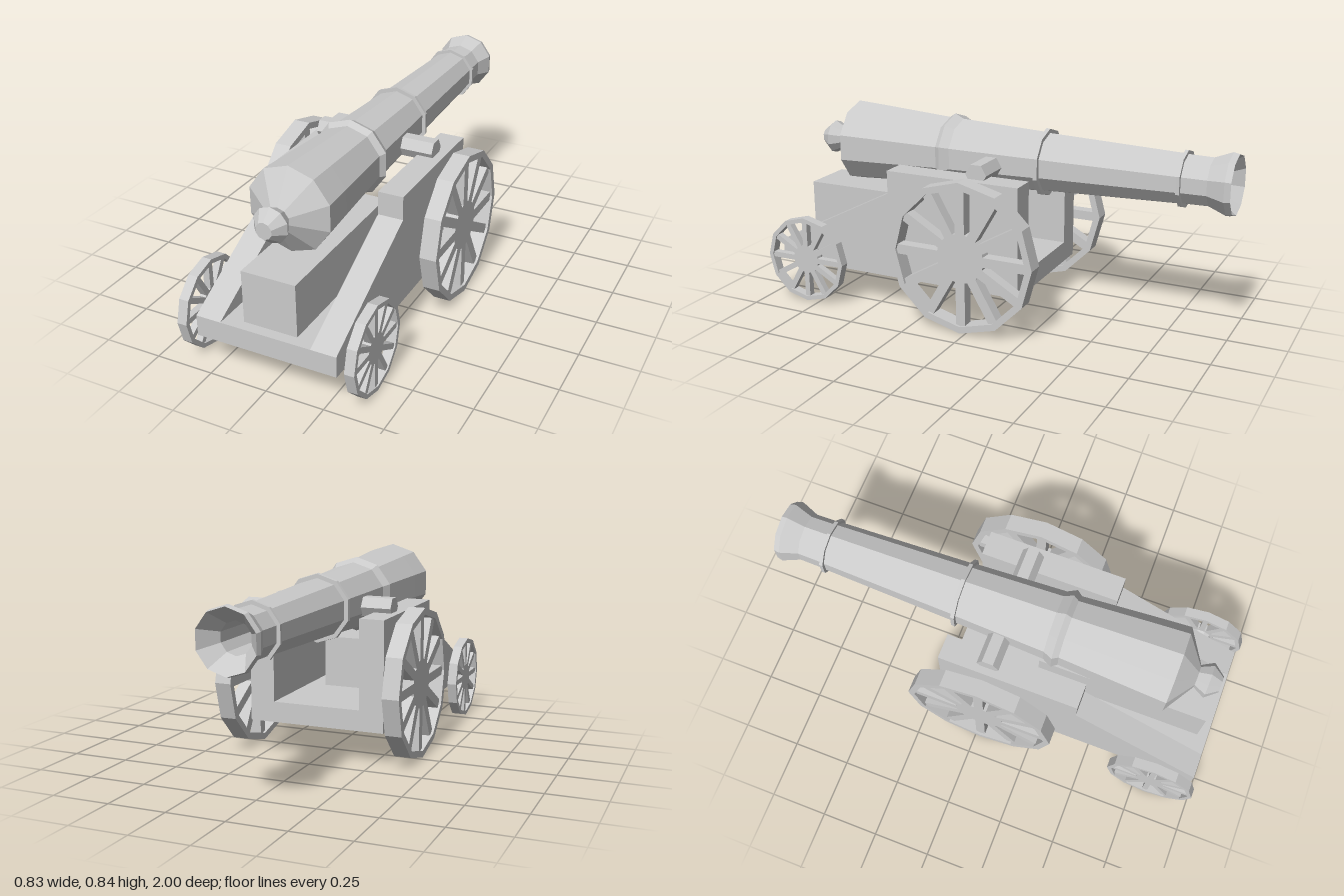
import * as THREE from 'three';

const material = new THREE.MeshStandardMaterial({ color: 0xcccccc, flatShading: true });

function part(name, geometry, parent) {
  const mesh = new THREE.Mesh(geometry, material);
  mesh.name = name;
  parent.add(mesh);
  return mesh;
}

function box(name, parent, x0, x1, y0, y1, z0, z1) {
  const mesh = part(name, new THREE.BoxGeometry(x1 - x0, y1 - y0, z1 - z0), parent);
  mesh.position.set((x0 + x1) / 2, (y0 + y1) / 2, (z0 + z1) / 2);
}

// Extrudes a shape drawn in (z, y) along x, centred on x = 0
function extrudeAcross(shape, width) {
  return new THREE.ExtrudeGeometry(shape, { depth: width, bevelEnabled: false })
    .translate(0, 0, -width / 2).rotateY(-Math.PI / 2);
}

// Twelve-sided outline with a corner at the top
function ring(radius) {
  return Array.from({ length: 12 }, (_, i) =>
    new THREE.Vector2(Math.cos(i * Math.PI / 6) * radius, Math.sin(i * Math.PI / 6) * radius));
}

function makeWheel(name, { radius, inner, width, spoke, hub }) {
  const wheel = new THREE.Group();
  wheel.name = name;
  const outline = new THREE.Shape(ring(radius));
  outline.holes.push(new THREE.Path(ring(inner).reverse()));
  part('rim', extrudeAcross(outline, width), wheel);
  // Each bar crosses the whole wheel and makes two spokes
  for (let i = 0; i < 6; i++) {
    const bar = part('spokes', new THREE.BoxGeometry(width * 0.7, spoke, inner * 2), wheel);
    bar.rotation.x = i * Math.PI / 6;
  }
  part('hub', new THREE.CylinderGeometry(hub, hub, width * 0.7, 12).rotateZ(Math.PI / 2), wheel);
  return wheel;
}

export function createModel() {
  const model = new THREE.Group();
  model.name = 'cannon';

  // Carriage
  const carriage = new THREE.Group();
  carriage.name = 'carriage';
  model.add(carriage);
  box('bed', carriage, -0.202, 0.19, 0.15, 0.24, -0.19, 0.98);
  box('breechBlock', carriage, -0.123, 0.11, 0.24, 0.467, 0.19, 0.935);
  const cheekShape = new THREE.Shape([
    [-0.19, 0.15], [0.98, 0.15], [0.98, 0.24], [0.42, 0.527], [0.42, 0.628], [-0.19, 0.628],
  ].map(([z, y]) => new THREE.Vector2(z, y)));
  for (const side of [-1, 1]) {
    part(side > 0 ? 'leftCheek' : 'rightCheek', extrudeAcross(cheekShape, 0.109), carriage)
      .position.x = -0.006 + side * 0.25;
  }

  // Barrel: bore, muzzle, rings, breech and knob as [z, radius]
  const profile = [
    [-0.65, 0], [-0.65, 0.065], [-0.92, 0.065], [-1, 0.126],
    [-0.975, 0.132], [-0.9, 0.102], [-0.795, 0.104], [-0.795, 0.12],
    [-0.78, 0.12], [-0.78, 0.106], [-0.195, 0.127], [-0.195, 0.145],
    [-0.178, 0.147], [-0.178, 0.13], [0.215, 0.148], [0.255, 0.168],
    [0.28, 0.15], [0.6, 0.172], [0.745, 0.181], [0.83, 0.048],
    [0.88, 0.075], [0.93, 0.035], [0.93, 0],
  ].map(([z, r]) => new THREE.Vector2(r, z));
  part('barrel', new THREE.LatheGeometry(profile, 10).rotateX(Math.PI / 2), model)
    .position.set(-0.016, 0.66, 0);

  // Six-sided trunnion through the barrel, flat side up
  part('trunnion', new THREE.CylinderGeometry(0.048, 0.048, 0.54, 6).rotateZ(Math.PI / 2), model)
    .position.set(-0.01, 0.648, 0.018);

  // Wheels and axle stubs on both sides
  const big = { radius: 0.327, inner: 0.298, width: 0.073, spoke: 0.042, hub: 0.11 };
  const small = { radius: 0.193, inner: 0.174, width: 0.042, spoke: 0.024, hub: 0.065 };
  for (const side of [-1, 1]) {
    const label = side > 0 ? 'left' : 'right';
    const bigWheel = makeWheel(label + 'LargeWheel', big);
    bigWheel.position.set(-0.002 + side * 0.378, 0.328, 0.022);
    const smallWheel = makeWheel(label + 'SmallWheel', small);
    smallWheel.position.set(-0.004 + side * 0.364, 0.193, 0.807);
    model.add(bigWheel, smallWheel);

    part(label + 'LargeAxle', new THREE.CylinderGeometry(0.058, 0.058, 0.06, 10).rotateZ(Math.PI / 2), model)
      .position.set(-0.003 + side * 0.33, 0.328, 0.02);
    // Small axle widens towards its wheel
    part(label + 'SmallAxle', new THREE.CylinderGeometry(0.052, 0.034, 0.045, 10).rotateZ(-side * Math.PI / 2), model)
      .position.set(-0.004 + side * 0.326, 0.193, 0.807);
  }
  return model;
}
